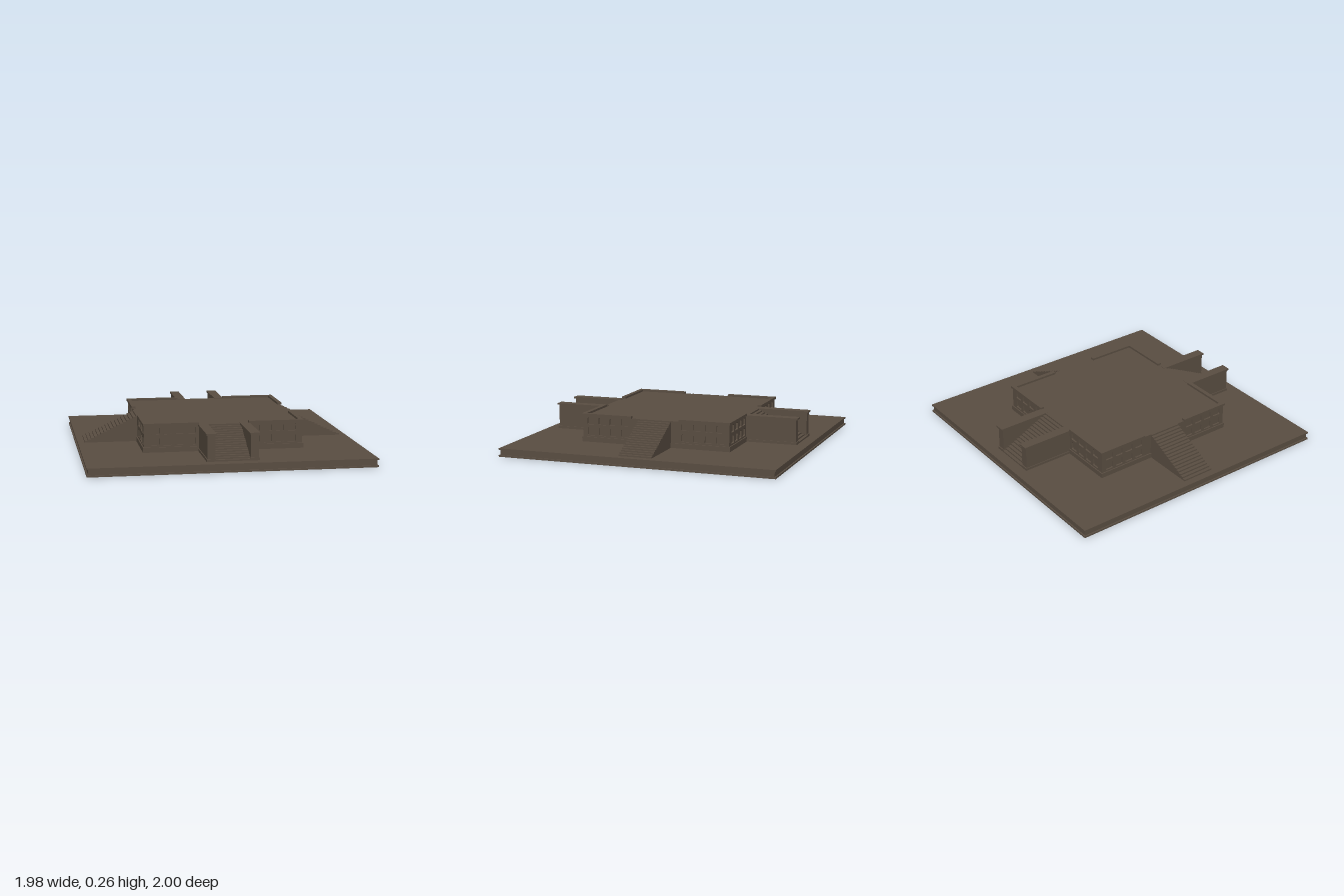
import * as THREE from 'three';

export function createModel() {
  const model = new THREE.Group();
  model.name = 'steppedPlatform';
  const stone = new THREE.MeshStandardMaterial({ color: 0x5a4e42 });
  stone.name = 'brown stone';

  // Box given by its minimum and maximum corners
  function block(name, parent, x0, x1, y0, y1, z0, z1) {
    const m = new THREE.Mesh(new THREE.BoxGeometry(x1 - x0, y1 - y0, z1 - z0), stone);
    m.position.set((x0 + x1) / 2, (y0 + y1) / 2, (z0 + z1) / 2);
    m.name = name;
    parent.add(m);
    return m;
  }

  const GROUND = 0.06, DECK = 0.248;

  // Base slab with a lip at top and bottom
  block('baseBottomLip', model, -0.99, 0.99, 0, 0.012, -1, 1);
  block('baseSlab', model, -0.98, 0.98, 0.012, 0.05, -0.99, 0.99);
  block('baseTopLip', model, -0.99, 0.99, 0.05, GROUND, -1, 1);

  // Platform core behind the window walls
  block('platformCore', model, -0.548, 0.548, GROUND, DECK, -0.533, 0.533);

  // Thin wall wing in the xy plane, pierced by two rows of windows
  function windowWall(from, to) {
    const s = new THREE.Shape();
    s.moveTo(from, GROUND);
    s.lineTo(to, GROUND);
    s.lineTo(to, DECK);
    s.lineTo(from, DECK);
    s.closePath();
    for (let c = 0; c < 4; c++) {
      const x = 0.2275 + c * 0.085;
      for (const [y0, y1] of [[0.106, 0.16], [0.185, 0.235]]) {
        const w = 0.03, k = 0.006;
        s.holes.push(new THREE.Path([
          [x - w + k, y0], [x - w, y0 + k], [x - w, y1 - k], [x - w + k, y1],
          [x + w - k, y1], [x + w, y1 - k], [x + w, y0 + k], [x + w - k, y0],
        ].map(p => new THREE.Vector2(...p))));
      }
    }
    return new THREE.ExtrudeGeometry(s, { depth: 0.012, bevelEnabled: false });
  }

  // Solid flight descending along +z, from distance r0 to r1
  function stairs(parent, r0, r1) {
    const n = 17, half = 0.12, run = (r1 - r0) / n, rise = (DECK - GROUND) / n;
    const s = new THREE.Shape();
    s.moveTo(r0, GROUND);
    s.lineTo(r1, GROUND);
    for (let i = 0; i < n; i++) {
      s.lineTo(r1 - i * run, GROUND + (i + 1) * rise);
      s.lineTo(r1 - (i + 1) * run, GROUND + (i + 1) * rise);
    }
    s.closePath();
    const g = new THREE.ExtrudeGeometry(s, { depth: half * 2, bevelEnabled: false });
    g.translate(0, 0, -half);
    g.rotateY(-Math.PI / 2);
    const m = new THREE.Mesh(g, stone);
    m.name = 'stairs';
    parent.add(m);
  }

  // One facade facing +z: walls, plinth, coping, stairs and optional cheek walls
  function facade(name, dist, halfWidth, cheeks, stairEnds) {
    const side = new THREE.Group();
    side.name = name;
    const inner = cheeks ? 0.15 : 0.118;
    for (const s of [-1, 1]) {
      const span = (a, b) => (s > 0 ? [a, b] : [-b, -a]);
      const wall = new THREE.Mesh(windowWall(inner, halfWidth), stone);
      if (s < 0) {
        // Mirror by turning the wing round, so its faces stay outward
        wall.rotation.y = Math.PI;
        wall.position.z = dist;
      } else {
        wall.position.z = dist - 0.012;
      }
      wall.name = 'windowWall';
      side.add(wall);
      block('plinth', side, ...span(inner, halfWidth + 0.008), GROUND, 0.095, dist - 0.012, dist + 0.008);
      block('coping', side, ...span(0.177, halfWidth + 0.008), 0.246, 0.263, dist - 0.022, dist + 0.008);
      if (cheeks) {
        block('cheekWall', side, ...span(0.12, 0.175), GROUND, 0.24, dist - 0.012, 0.913);
        block('cheekCap', side, ...span(0.114, 0.183), 0.238, 0.25, dist - 0.012, 0.924);
        block('cheekFoot', side, ...span(0.118, 0.181), GROUND, 0.078, dist, 0.921);
      }
    }
    stairs(side, ...stairEnds);
    model.add(side);
    return side;
  }

  facade('frontFacade', 0.545, 0.56, true, [0.53, 0.92]);
  facade('backFacade', 0.545, 0.56, true, [0.53, 0.92]).rotation.y = Math.PI;
  facade('leftFacade', 0.56, 0.545, false, [0.545, 0.94]).rotation.y = Math.PI / 2;
  facade('rightFacade', 0.56, 0.545, false, [0.545, 0.94]).rotation.y = -Math.PI / 2;

  return model;
}
